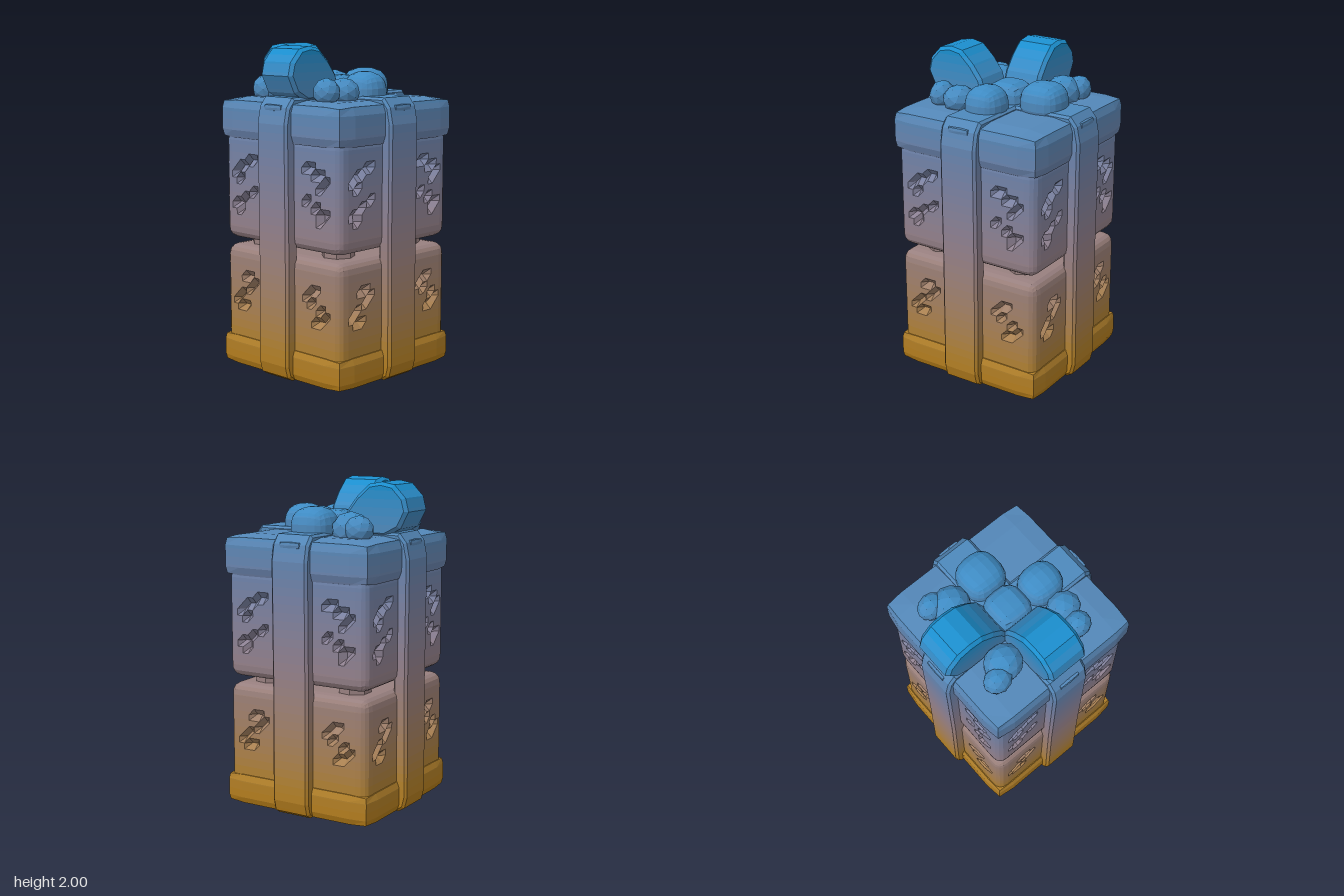
import * as THREE from 'three';

// Colour gradient from the foot (gold) to the bow (blue): [height, colour]
const STOPS = [[0, 0xb47a12], [0.2, 0xb0802c], [0.5, 0xa38062], [0.9, 0x93808a],
  [1.4, 0x7082a8], [1.7, 0x5088ba], [2, 0x0f8fd0]];
const BANDS = 40;
const materials = Array.from({ length: BANDS }, (_, i) => {
  const y = (i + 0.5) * 2 / BANDS;
  const k = Math.max(1, STOPS.findIndex((s) => s[0] >= y));
  const [y0, c0] = STOPS[k - 1], [y1, c1] = STOPS[k];
  const color = new THREE.Color(c0).lerp(new THREE.Color(c1), (y - y0) / (y1 - y0));
  return new THREE.MeshStandardMaterial({ color, flatShading: true });
});

// Keep the part of a polygon above (sign 1) or below (sign -1) a height
function clip(poly, h, sign) {
  const out = [];
  poly.forEach((a, i) => {
    const b = poly[(i + 1) % poly.length];
    const da = (a.y - h) * sign, db = (b.y - h) * sign;
    if (da >= 0) out.push(a);
    if (da * db < 0) out.push(a.clone().lerp(b, da / (da - db)));
  });
  return out;
}

// Cut a geometry into horizontal bands, each with its own gradient colour
function addPart(parent, name, geometry) {
  const part = new THREE.Group();
  part.name = name;
  const p = (geometry.index ? geometry.toNonIndexed() : geometry).attributes.position;
  const bands = Array.from({ length: BANDS }, () => []);
  const bandOf = (y) => THREE.MathUtils.clamp(Math.floor(y * BANDS / 2), 0, BANDS - 1);
  for (let i = 0; i < p.count; i += 3) {
    const tri = [0, 1, 2].map((j) => new THREE.Vector3().fromBufferAttribute(p, i + j));
    const ys = tri.map((v) => v.y);
    const first = bandOf(Math.min(...ys)), last = bandOf(Math.max(...ys));
    for (let b = first; b <= last; b++) {
      let poly = tri;
      if (b > first) poly = clip(poly, b * 2 / BANDS, 1);
      if (b < last) poly = clip(poly, (b + 1) * 2 / BANDS, -1);
      for (let k = 2; k < poly.length; k++) {
        for (const v of [poly[0], poly[k - 1], poly[k]]) bands[b].push(v.x, v.y, v.z);
      }
    }
  }
  bands.forEach((pos, b) => {
    if (!pos.length) return;
    const g = new THREE.BufferGeometry();
    g.setAttribute('position', new THREE.Float32BufferAttribute(pos, 3));
    g.computeVertexNormals();
    const mesh = new THREE.Mesh(g, materials[b]);
    mesh.name = name + 'Band';
    part.add(mesh);
  });
  parent.add(part);
}

// Softly rounded block with an optional rule that carves its vertices
function block(w, y0, y1, d, r, segs, carve) {
  const h = y1 - y0;
  const g = new THREE.BoxGeometry(w, h, d, ...segs);
  const p = g.attributes.position;
  const v = new THREE.Vector3(), core = new THREE.Vector3();
  const half = new THREE.Vector3(w / 2 - r, h / 2 - r, d / 2 - r);
  for (let i = 0; i < p.count; i++) {
    v.fromBufferAttribute(p, i);
    core.copy(v).clamp(half.clone().negate(), half);
    v.sub(core);
    if (v.lengthSq() > 0) v.setLength(r);
    v.add(core);
    v.y += (y0 + y1) / 2;
    if (carve) carve(v, w / 2);
    p.setXYZ(i, v.x, v.y, v.z);
  }
  return g;
}

// Zigzag grooves on both halves of every side
const grooves = (ranges) => (v, half) => {
  const onX = Math.abs(v.x) > half - 0.005;
  if (!onX && Math.abs(v.z) < half - 0.005) return;
  const u = Math.abs(onX ? v.z : v.x);
  const line = 0.3 + 0.07 * Math.sin(v.y * 32);
  if (Math.abs(u - line) < 0.028 && ranges.some(([a, b]) => v.y > a && v.y < b)) {
    v[onX ? 'x' : 'z'] *= 0.92;
  }
};

const blob = (x, y, z, rx, ry, rz) =>
  new THREE.IcosahedronGeometry(1, 1).rotateY(x * 9 + z * 5).scale(rx, ry, rz).translate(x, y, z);

const outline = (pts) => pts.map(([x, y]) => new THREE.Vector2(x, y));

function extrude(shape, width, bevel) {
  return new THREE.ExtrudeGeometry(shape, {
    depth: width - 2 * bevel, bevelEnabled: true, bevelSegments: 1,
    bevelSize: bevel, bevelThickness: bevel, bevelOffset: -bevel,
  }).translate(0, 0, -width / 2 + bevel);
}

export function createModel() {
  const model = new THREE.Group();
  model.name = 'giftBox';

  // Two stacked boxes with a base rim and a lid
  addPart(model, 'baseRim', block(1.02, 0, 0.21, 1.02, 0.05, [8, 4, 8]));
  addPart(model, 'lowerBox', block(0.98, 0.1, 0.77, 0.98, 0.065, [26, 18, 26],
    grooves([[0.38, 0.6]])));
  addPart(model, 'upperBox', block(0.98, 0.81, 1.5, 0.98, 0.065, [26, 18, 26],
    grooves([[0.98, 1.12], [1.17, 1.34]])));
  addPart(model, 'lid', block(1.025, 1.42, 1.685, 1.025, 0.06, [8, 4, 8]));

  // Small spacers between the two boxes
  for (const x of [-0.3, 0.3]) {
    for (const z of [-0.3, 0.3]) {
      addPart(model, 'spacer', new THREE.CylinderGeometry(0.1, 0.1, 0.12, 7).translate(x, 0.79, z));
    }
  }

  // Ribbon loops wrapped around the boxes in both directions
  const half = [[0.5, 0.005], [0.54, 0.03], [0.558, 0.1], [0.552, 0.8], [0.556, 1.55],
    [0.535, 1.65], [0.49, 1.705]];
  const mirrored = half.map(([x, y]) => [-x, y]).reverse();
  const ring = new THREE.Shape(outline([...half, ...mirrored]));
  ring.holes.push(new THREE.Path(outline([[-0.46, 0.05], [-0.46, 1.64], [0.46, 1.64], [0.46, 0.05]])));
  const ribbon = extrude(ring, 0.25, 0.015);
  addPart(model, 'sideRibbon', ribbon);
  addPart(model, 'frontRibbon', ribbon.clone().rotateY(Math.PI / 2));

  // Raised ribbon folds under the lid edge
  for (let i = 0; i < 4; i++) {
    const fold = block(0.14, 1.625, 1.665, 0.03, 0.012, [2, 2, 2]);
    addPart(model, 'ribbonFold', fold.translate(0, 0, 0.53).rotateY(i * Math.PI / 2));
  }

  // Two tall bow loops
  const loop = extrude(new THREE.Shape(outline([[-0.08, 1.68], [-0.13, 1.83], [-0.19, 1.91],
    [-0.27, 1.985], [-0.35, 2], [-0.43, 1.985], [-0.5, 1.91], [-0.52, 1.83], [-0.47, 1.73],
    [-0.38, 1.68]])), 0.26, 0.02);
  addPart(model, 'rightBowLoop', loop);
  addPart(model, 'backBowLoop', loop.clone().scale(1.05, 1, 1).rotateY(-Math.PI / 2));

  // Two flat bow loops and the knot
  addPart(model, 'knot', block(0.25, 1.6, 1.82, 0.25, 0.09, [4, 4, 4]));
  addPart(model, 'leftBowLoop', block(0.27, 1.6, 1.85, 0.27, 0.11, [5, 5, 5]).translate(0.25, 0, 0.01));
  addPart(model, 'frontBowLoop', block(0.24, 1.6, 1.845, 0.26, 0.11, [5, 5, 5]).translate(-0.005, 0, 0.24));

  // Ribbon curls lying on the lid
  addPart(model, 'frontCurl', blob(-0.33, 1.735, 0.235, 0.075, 0.085, 0.085));
  addPart(model, 'frontCurl', blob(-0.2, 1.73, 0.245, 0.095, 0.085, 0.105));
  for (const s of [-1, 1]) {
    addPart(model, 'backCurl', blob(s * 0.23, 1.72, -0.23, 0.11, 0.11, 0.12));
    addPart(model, 'backCurlTip', blob(s * 0.29, 1.73, -0.32, 0.075, 0.085, 0.09));
  }
  return model;
}
